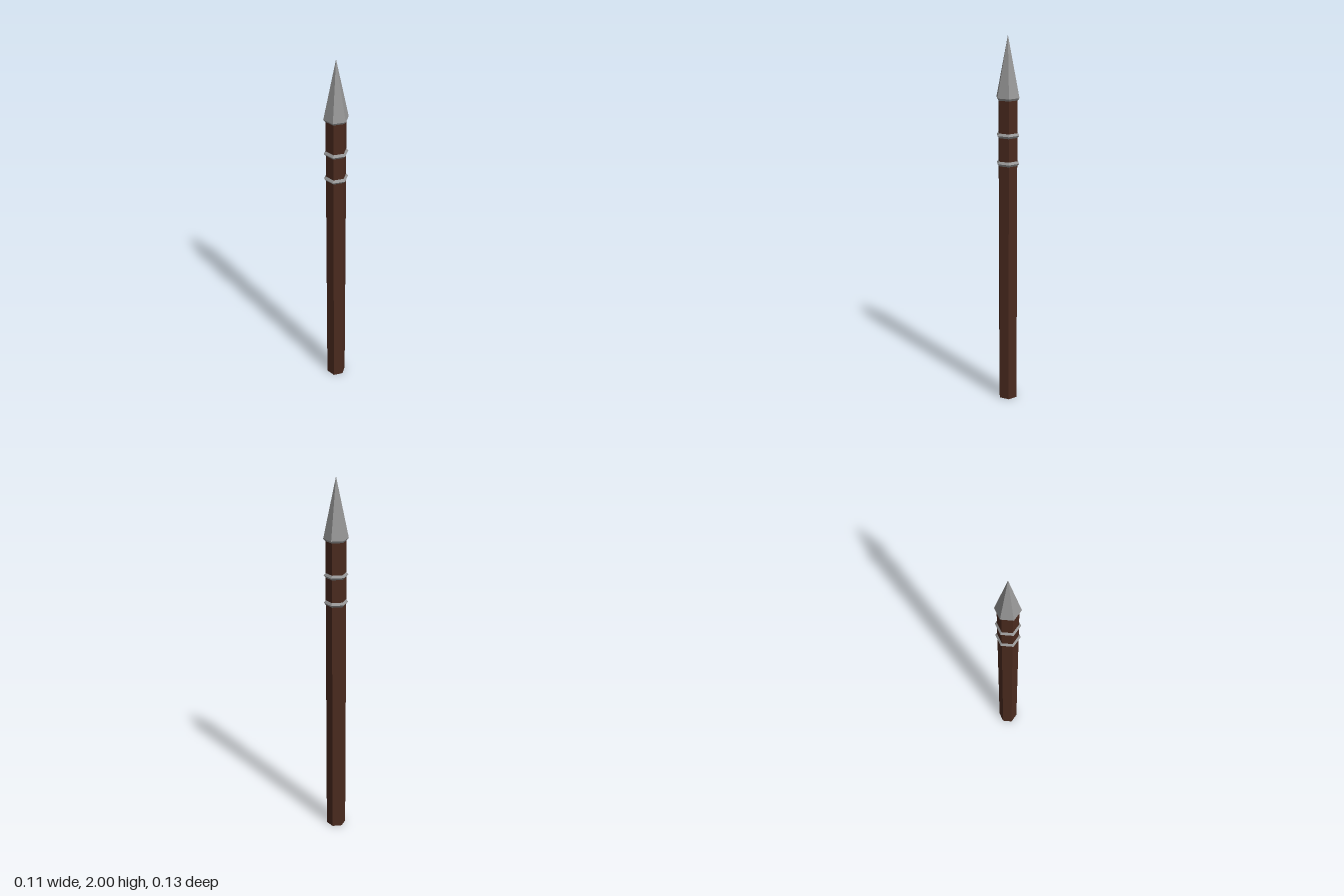
import * as THREE from 'three';

const SIDES = 6;

function material(name, color) {
  const m = new THREE.MeshStandardMaterial({ color, flatShading: true });
  m.name = name;
  return m;
}

// Six-sided turned part from [radius, height] points, listed bottom to top on the outside
function turned(name, points, mat) {
  const profile = points.map(([r, y]) => new THREE.Vector2(r, y));
  const mesh = new THREE.Mesh(new THREE.LatheGeometry(profile, SIDES), mat);
  mesh.name = name;
  return mesh;
}

export function createModel() {
  const wood = material('dark wood', 0x4b2b1f);
  const steel = material('steel', 0x979797);
  const group = new THREE.Group();
  group.name = 'spear';

  // Hexagonal shaft with a corner facing the front
  const shaft = new THREE.Mesh(new THREE.CylinderGeometry(0.0535, 0.053, 1.68, SIDES), wood);
  shaft.name = 'shaft';
  shaft.position.y = 0.84;
  group.add(shaft);

  // Pointed head with a short bevel under its widest edge
  group.add(turned('spearhead', [[0, 1.674], [0.056, 1.674], [0.065, 1.686], [0, 2]], steel));

  // Two binding rings with a diamond cross-section
  [['lowerRing', 1.344], ['upperRing', 1.492]].forEach(([name, y]) => {
    const ring = turned(name, [[0.053, -0.013], [0.064, 0], [0.053, 0.013], [0.045, 0], [0.053, -0.013]], steel);
    ring.position.y = y;
    group.add(ring);
  });

  return group;
}
